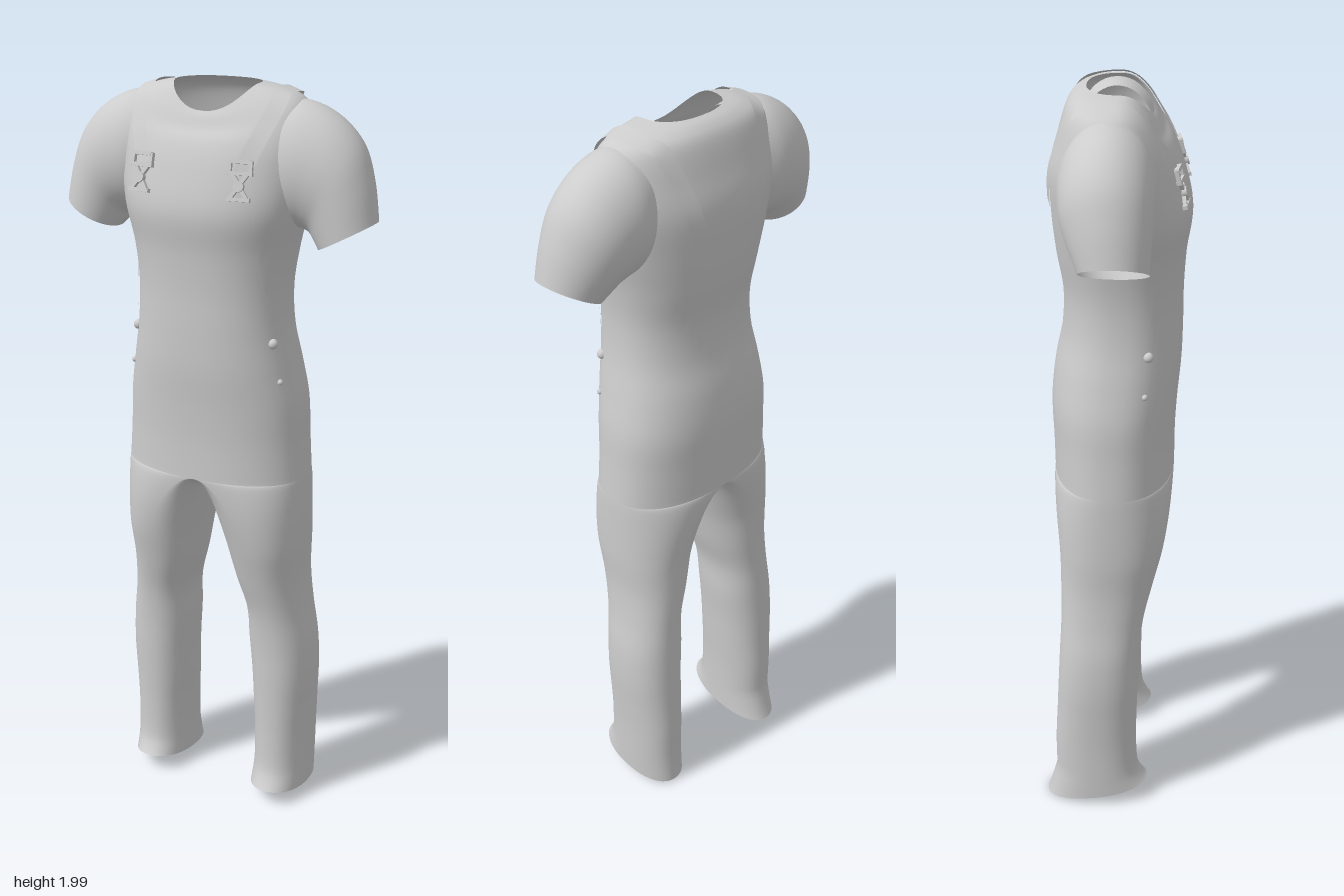
import * as THREE from 'three';
import { mergeGeometries, mergeVertices } from 'three/addons/utils/BufferGeometryUtils.js';

const N = 48; // points per ring
const cloth = new THREE.MeshStandardMaterial({ name: 'light grey', color: 0xcccccc, side: THREE.DoubleSide });
const rad = THREE.MathUtils.degToRad;
const V = (x, y, z) => new THREE.Vector3(x, y, z);

// Smoothly interpolate rows of numbers at fractional index v
function sample(rows, v) {
  const last = rows.length - 1;
  const i = Math.min(Math.max(Math.floor(v), 0), last - 1), f = v - i;
  const at = k => rows[Math.min(Math.max(k, 0), last)];
  const [a, b, c, d] = [at(i - 1), at(i), at(i + 1), at(i + 2)];
  return b.map((q, k) => q + 0.5 * f * (c[k] - a[k] + f * (2 * a[k] - 5 * q + 4 * c[k] - d[k]
    + f * (3 * (q - c[k]) + d[k] - a[k]))));
}

// Rounded cross-section offset, n = 2 is an ellipse
const power = (q, n) => Math.sign(q) * Math.pow(Math.abs(q), 2 / n);

// Skin a surface of closed rings, point(v, t)
function loft(point, vMax, steps, flip) {
  const pos = [], idx = [];
  for (let j = 0; j <= steps; j++)
    for (let i = 0; i < N; i++) pos.push(...point(vMax * j / steps, i / N * Math.PI * 2).toArray());
  for (let j = 0; j < steps; j++)
    for (let i = 0; i < N; i++) {
      const a = j * N + i, b = j * N + (i + 1) % N, c = a + N, d = b + N;
      idx.push(...(flip ? [a, b, c, b, d, c] : [a, c, b, b, c, d]));
    }
  const g = new THREE.BufferGeometry();
  g.setAttribute('position', new THREE.Float32BufferAttribute(pos, 3));
  g.setIndex(idx);
  return g;
}

// Torso rows: height, half width, front z, back z, front drop
const TORSO = [
  [1.0, .253, .155, -.16, 0], [1.1, .246, .155, -.162, 0], [1.2, .24, .16, -.165, 0],
  [1.3, .222, .168, -.155, 0], [1.4, .204, .17, -.135, 0], [1.5, .2, .17, -.132, 0],
  [1.6, .212, .176, -.148, 0], [1.7, .235, .188, -.158, 0], [1.8, .25, .165, -.16, 0],
  [1.88, .25, .14, -.14, .02], [1.95, .225, .115, -.118, .06], [1.978, .17, .1, -.095, .062],
  [1.99, .11, .09, -.07, .062],
];
function torso(v, t) {
  const [y, rx, zf, zb, drop] = sample(TORSO, v);
  const s = Math.sin(t), n = 2.3;
  return V(rx * power(Math.cos(t), n), y - drop * Math.max(0, s) ** 2,
    (zf + zb) / 2 + (zf - zb) / 2 * power(s, n));
}
function torsoNormal(v, t) {
  const p = torso(v, t);
  return torso(v + .05, t).sub(p).cross(torso(v, t + .03).sub(p)).normalize();
}

// Leg rows: height, outer x, inner x, front z, back z, blend into the half torso
const LEG = [
  [.03, .265, .11, .098, -.165, 0], [.1, .266, .111, .072, -.16, 0], [.2, .267, .11, .066, -.16, 0],
  [.3, .271, .105, .067, -.155, 0], [.4, .275, .1, .07, -.15, 0], [.5, .271, .092, .073, -.145, 0],
  [.6, .257, .088, .083, -.14, 0], [.7, .25, .062, .106, -.14, 0], [.8, .254, .04, .13, -.142, 0],
  [.88, .255, .02, .145, -.15, .2], [.95, .255, .005, .152, -.157, .65], [1.0, .253, 0, .155, -.16, 1],
];
const legPoint = side => (v, t) => {
  const [y, xo, xi, zf, zb0, w] = sample(LEG, v);
  const hem = Math.max(0, 1 - v), s = Math.sin(t), c = Math.cos(t);
  const zb = zb0 - (side < 0 ? .022 * hem : 0);
  const p = V((xo + xi) / 2 + (xo - xi) / 2 * power(c, 2.2),
    y + hem * s * (side < 0 ? .028 : .02), (zf + zb) / 2 + (zf - zb) / 2 * power(s, 2.2));
  const half = torso(0, t);
  if (c < 0) { half.x = 0; half.y -= .05 * c * c; }
  p.lerp(half, Math.min(Math.max(w, 0), 1));
  p.x *= side;
  return p;
};

// Sleeve rows: top x, top y, bottom x, bottom y, front z, back z
const SLEEVE = [
  [.15, 1.95, .15, 1.7, .09, -.1], [.23, 1.956, .2, 1.66, .107, -.122], [.31, 1.922, .235, 1.65, .105, -.12],
  [.37, 1.86, .252, 1.643, .1, -.11], [.402, 1.775, .265, 1.628, .097, -.092], [.42, 1.685, .28, 1.61, .094, -.07],
];
const sleevePoint = side => (v, t) => {
  const [tx, ty, bx, by, zf, zb] = sample(SLEEVE, v);
  const c = Math.cos(t), s = Math.sin(t);
  return V(side * ((tx + bx) / 2 + (tx - bx) / 2 * c), (ty + by) / 2 + (ty - by) / 2 * c,
    (zf + zb) / 2 + (zf - zb) / 2 * s);
};

// Ribbon lying on the torso along a path of [row, degrees]
function ribbon(path, width, lift, side) {
  const steps = 48, pos = [], idx = [];
  const at = u => { const [v, d] = sample(path, u); return [v, rad(d)]; };
  for (let j = 0; j <= steps; j++) {
    const u = (path.length - 1) * j / steps, q = at(u);
    const n = torsoNormal(...q), p = torso(...q).addScaledVector(n, lift);
    const across = torso(...at(u + .02)).sub(torso(...at(u - .02))).cross(n).normalize();
    for (const k of [-.5, .5]) {
      const e = p.clone().addScaledVector(across, k * width);
      pos.push(e.x * side, e.y, e.z);
    }
    if (j < steps) {
      const a = j * 2;
      idx.push(...(side > 0 ? [a, a + 1, a + 2, a + 1, a + 3, a + 2] : [a, a + 2, a + 1, a + 1, a + 2, a + 3]));
    }
  }
  const g = new THREE.BufferGeometry();
  g.setAttribute('position', new THREE.Float32BufferAttribute(pos, 3));
  g.setIndex(idx);
  g.computeVertexNormals();
  return g;
}

function mesh(geometry, name, parent) {
  const m = new THREE.Mesh(geometry, cloth);
  m.name = name;
  parent.add(m);
  return m;
}

// Wire strap clasp with a crossed frame and a stud
function buckle() {
  const g = new THREE.Group();
  for (const [y, w] of [[.045, .05], [.018, .062], [-.042, .058]])
    mesh(new THREE.BoxGeometry(w, .009, .012), 'clasp bar', g).position.y = y;
  for (const k of [-1, 1]) {
    const cross = mesh(new THREE.BoxGeometry(.009, .075, .009), 'clasp cross wire', g);
    cross.position.y = -.01;
    cross.rotation.z = k * .6;
    mesh(new THREE.BoxGeometry(.008, .034, .01), 'clasp side', g).position.set(k * .026, .031, 0);
  }
  const stud = mesh(new THREE.CylinderGeometry(.013, .013, .012, 16), 'clasp stud', g);
  stud.rotation.x = Math.PI / 2;
  stud.position.set(0, -.012, .003);
  return g;
}

export function createModel() {
  const model = new THREE.Group();
  model.name = 'overalls and shirt';

  // Torso and legs share their rings at the crotch, so they weld into one skin
  const body = mergeVertices(mergeGeometries([
    loft(torso, TORSO.length - 1, 60, false),
    loft(legPoint(1), LEG.length - 1, 55, false),
    loft(legPoint(-1), LEG.length - 1, 55, true),
  ]), 1e-4);
  body.computeVertexNormals();
  mesh(body, 'body and trouser legs', model);

  for (const side of [1, -1]) {
    const label = side > 0 ? 'left' : 'right';
    const sleeve = loft(sleevePoint(side), SLEEVE.length - 1, 30, side > 0);
    sleeve.computeVertexNormals();
    mesh(sleeve, label + ' sleeve', model);

    // Strap over the shoulder and the seam at the edge of the bib
    mesh(ribbon([[7.9, 62], [9, 55], [10, 42], [10.75, 15], [10.8, -10], [10.3, -42], [9.5, -57],
      [8.5, -65], [7.3, -71]], .042, .005, side), label + ' strap', model);
    mesh(ribbon([[7.1, 50], [6.2, 45], [5.4, 37], [4.6, 27], [4, 24]], .006, .003, side), label + ' bib seam', model);

    // Clasp on the chest
    const p = torso(7.8, rad(62)), n = torsoNormal(7.8, rad(62));
    p.addScaledVector(n, .009);
    p.x *= side;
    n.x *= side * .4;
    const clasp = buckle();
    clasp.name = label + ' clasp';
    clasp.position.copy(p);
    clasp.lookAt(p.clone().add(n));
    model.add(clasp);

    // Hip buttons
    for (const [v, r] of [[3.75, .013], [2.75, .008]]) {
      const b = torso(v, rad(25));
      mesh(new THREE.SphereGeometry(r, 16, 10), label + ' hip button', model).position.set(b.x * side, b.y, b.z);
    }
  }
  return model;
}
